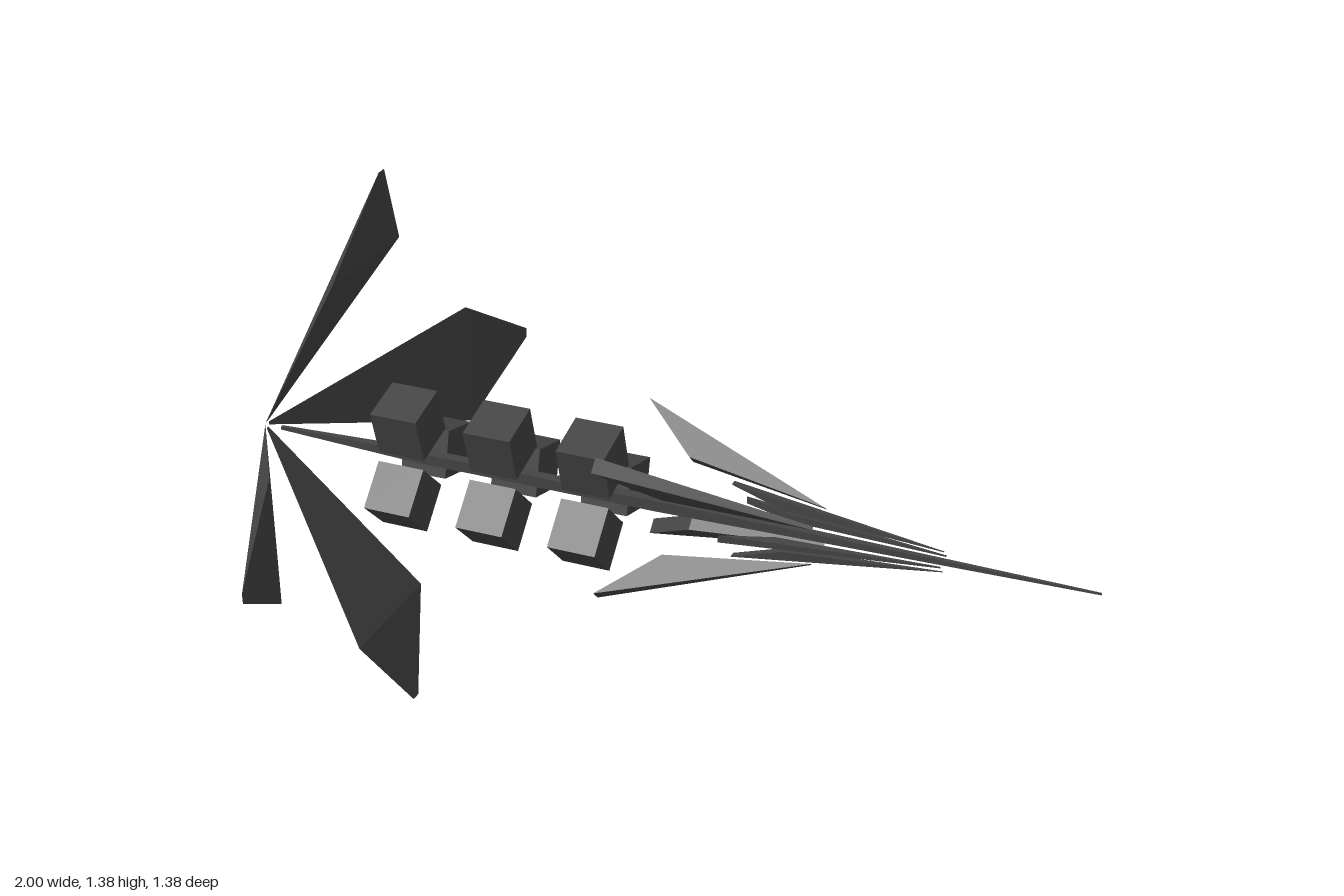
import * as THREE from 'three';
import { ConvexGeometry } from 'three/addons/geometries/ConvexGeometry.js';

const AXIS_Y = 0.6925;
const material = new THREE.MeshStandardMaterial({ color: 0x444444, flatShading: true });

// Three-edged wedge: each station is [x, radius, half width]
function wedge(stations) {
  const points = [];
  for (const [x, r, w] of stations) {
    points.push(new THREE.Vector3(x, r, -w), new THREE.Vector3(x, r, w));
  }
  return new ConvexGeometry(points);
}

// Repeats a geometry around the long axis
function ring(name, geometry, count, startDegrees) {
  const group = new THREE.Group();
  group.name = name + 's';
  for (let i = 0; i < count; i++) {
    const mesh = new THREE.Mesh(geometry, material);
    mesh.name = name;
    mesh.rotation.x = THREE.MathUtils.degToRad(startDegrees + (360 / count) * i);
    group.add(mesh);
  }
  return group;
}

// Square rod that tapers at both ends: each section is [x, half side]
function spineGeometry() {
  const sections = [[-0.96, 0.004], [-0.6, 0.013], [0, 0.013], [0.4, 0.008], [1, 0.002]];
  const points = [];
  for (const [x, h] of sections) {
    for (const y of [-h, h]) for (const z of [-h, h]) points.push(new THREE.Vector3(x, y, z));
  }
  return new ConvexGeometry(points);
}

export function createModel() {
  const model = new THREE.Group();
  model.name = 'spacecraft';
  const body = new THREE.Group();
  body.name = 'body';
  body.position.y = AXIS_Y;
  model.add(body);

  // Central spine
  const spine = new THREE.Mesh(spineGeometry(), material);
  spine.name = 'spine';
  body.add(spine);

  // Four large swept tail panels
  body.add(ring('tailPanel', wedge([[-1, 0.008, 0.004], [-0.7, 0.467, 0.158], [-0.645, 0.6925, 0.012]]), 4, 0));

  // Three rings of three cargo pods
  for (const x of [-0.603, -0.37, -0.143]) {
    const pod = new THREE.BoxGeometry(0.115, 0.115, 0.115);
    pod.translate(x, 0.103, 0);
    body.add(ring('cargoPod', pod, 3, 15));
  }

  // Diagonal outer fins and smaller inner fins converging on the nose
  body.add(ring('outerFin', wedge([[-0.08, 0.233, 0.018], [0.05, 0.115, 0.018], [0.38, 0.064, 0.004]]), 4, 45));
  body.add(ring('innerFin', wedge([[0.18, 0.092, 0.009], [0.3, 0.052, 0.009], [0.66, 0.025, 0.002]]), 4, 0));

  return model;
}
